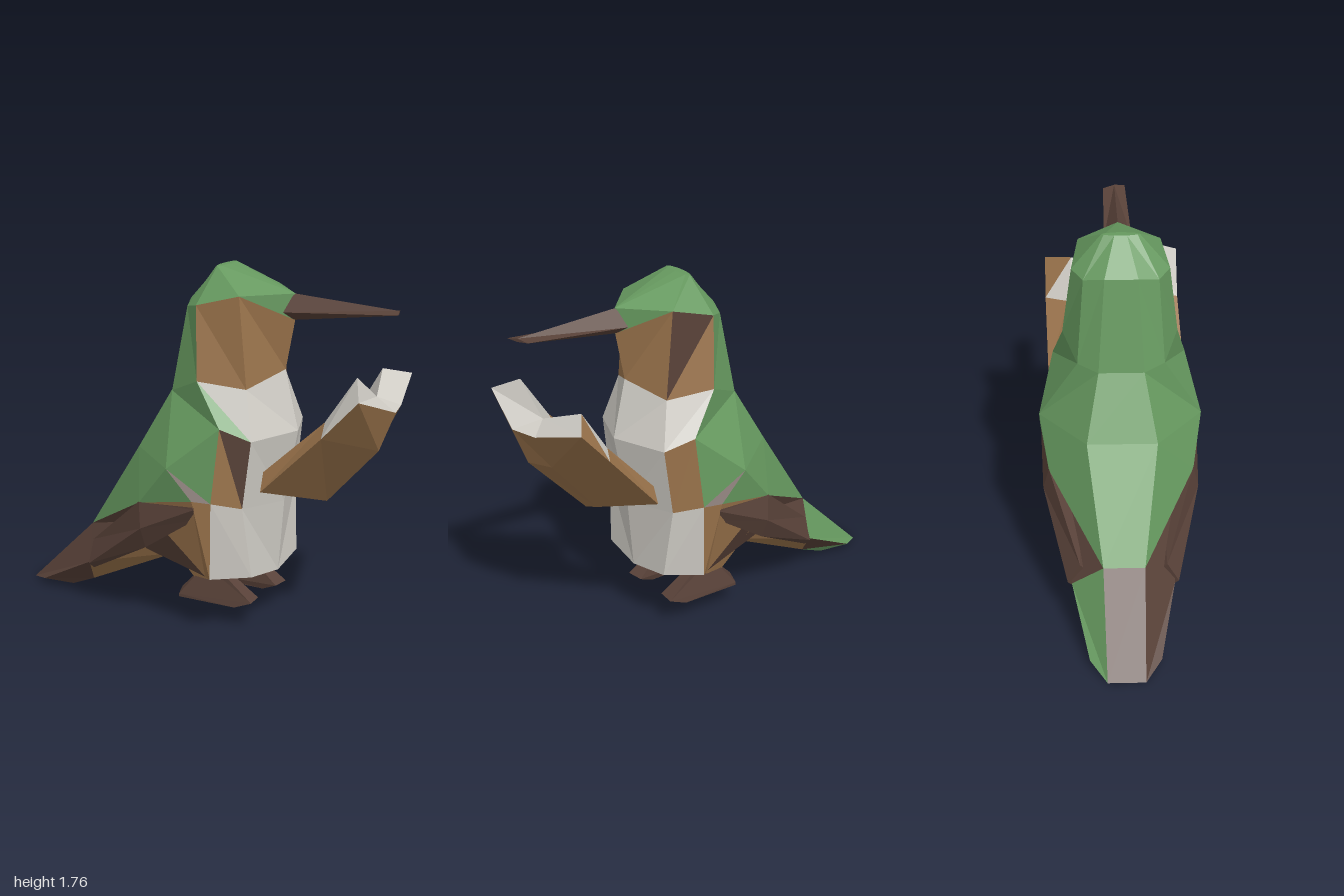
import * as THREE from 'three';

const COLOURS = {
  g: ['Green', 0x66995f], b: ['Brown', 0x9a734b],
  d: ['DarkBrown', 0x594239], w: ['White', 0xcfccc5],
};

// Closed faceted loft through rings of points. colourAt(k, j) gives two letters,
// one per triangle of a cell; mirrored halves get the mirrored diagonal.
function loft(name, rings, colourAt, startCap, endCap) {
  const n = rings[0].length, faces = [];
  for (let k = 0; k < rings.length - 1; k++) {
    for (let j = 0; j < n; j++) {
      const i = (j + 1) % n;
      const a = rings[k][j], b = rings[k][i], c = rings[k + 1][i], d = rings[k + 1][j];
      const [up, low] = colourAt(k, j);
      if (j >= n / 2) faces.push([up, a, b, c], [low, a, c, d]);
      else faces.push([up, a, b, d], [low, b, c, d]);
    }
  }
  const first = rings[0], last = rings[rings.length - 1];
  for (let j = 1; j < n - 1; j++) {
    faces.push([startCap, first[0], first[j + 1], first[j]], [endCap, last[0], last[j], last[j + 1]]);
  }
  // Drop collapsed triangles and make every face point outwards
  const solid = faces.map(([c, ...p]) => [c, ...p.map((q) => new THREE.Vector3(...q))])
    .filter(([, a, b, c]) => new THREE.Triangle(a, b, c).getArea() > 1e-6);
  const volume = solid.reduce((s, [, a, b, c]) => s + a.dot(b.clone().cross(c)), 0);
  const group = new THREE.Group();
  group.name = name;
  for (const [key, [label, color]] of Object.entries(COLOURS)) {
    const points = solid.filter((f) => f[0] === key)
      .flatMap(([, a, b, c]) => (volume > 0 ? [a, b, c] : [a, c, b]));
    if (!points.length) continue;
    const geometry = new THREE.BufferGeometry().setFromPoints(points);
    geometry.computeVertexNormals();
    const mesh = new THREE.Mesh(geometry, new THREE.MeshStandardMaterial({ color, flatShading: true }));
    mesh.name = name + label;
    group.add(mesh);
  }
  return group;
}

// Full ring from its left half; points on the centre line are not doubled
const mirrorRing = (half) => [
  ...half,
  ...half.filter((p) => p[0] !== 0).reverse().map(([x, y, z]) => [-x, y, z]),
];
const flipX = (rings) => rings.map((r) => r.map(([x, y, z]) => [-x, y, z]));
const colourTable = (rows) => {
  const table = rows.map((row) => row.split(' '));
  return (k, j) => table[k][j];
};

function makeBody() {
  // Each half ring: front, front side, side, back side, shoulder, back.
  // The shoulder shares the back side point except where the wing joins.
  const brow = [[0.2, 1.655, 0.24], [0.235, 1.6, 0.03], [0.18, 1.58, -0.05], [0.18, 1.58, -0.05], [0.08, 1.6, -0.09]];
  const rings = [
    [[0, 1.765, 0.08], [0.07, 1.765, 0.07], [0.09, 1.765, 0.06], [0.08, 1.765, 0.05], [0.08, 1.765, 0.05], [0.03, 1.765, 0.04]],
    [[0, 1.655, 0.427], ...brow],
    [[0, 1.53, 0.427], ...brow],
    [[0, 1.29, 0.38], [0.2, 1.22, 0.28], [0.28, 1.25, 0.06], [0.21, 1.17, -0.12], [0.21, 1.17, -0.12], [0.11, 1.15, -0.18]],
    [[0, 1.0, 0.45], [0.26, 0.99, 0.34], [0.33, 1.05, 0.21], [0.4, 0.84, -0.04], [0.4, 0.84, -0.04], [0.17, 0.85, -0.34]],
    [[0, 0.64, 0.38], [0.27, 0.66, 0.3], [0.36, 0.69, 0.18], [0.4, 0.7, 0.1], [0.355, 0.63, -0.225], [0.1, 0.37, -0.68]],
    [[0, 0.28, 0.35], [0.23, 0.31, 0.33], [0.335, 0.3, 0.16], [0.31, 0.3, 0.12], [0.31, 0.3, 0.12], [0.15, 0.33, -0.15]],
  ].map(mirrorRing);
  const colours = colourTable([
    'gg gg gg gg gg gg gg gg gg gg gg',
    'gg gg gg gg gg gg gg gg gg gg gg',
    'bb db gg gg gg gg gg gg gg bb bb',
    'ww ww gg gg gg gg gg gg gg wg ww',
    'ww bb gd gg gg gg gg gg gd db ww',
    'ww ww bb bb db bb db bb bb ww ww',
  ]);
  return loft('body', rings, colours, 'g', 'b');
}

function makeTail() {
  // Half sections: top, edge, bottom
  const rings = [
    [[0.14, 0.58, -0.4], [0.28, 0.48, -0.3], [0.15, 0.32, -0.15]],
    [[0.1, 0.37, -0.68], [0.25, 0.22, -0.6], [0.13, 0.08, -0.66]],
    [[0.09, 0, -1.07], [0.17, 0.035, -0.95], [0.12, 0.02, -0.8]],
  ].map(mirrorRing);
  const colours = colourTable(['dd bb bb bb dd dd', 'gg dg dd dd dd dd']);
  return loft('tail', rings, colours, 'b', 'd');
}

function makeWing(side) {
  // Sections: top, outer edge, bottom, inner edge
  const rings = [
    [[0.39, 0.71, 0.1], [0.395, 0.66, 0.11], [0.37, 0.6, 0.1], [0.28, 0.65, 0.1]],
    [[0.355, 0.635, -0.225], [0.385, 0.51, -0.2], [0.34, 0.4, -0.2], [0.2, 0.5, -0.22]],
    [[0.21, 0.33, -0.6], [0.27, 0.22, -0.59], [0.24, 0.19, -0.58], [0.14, 0.24, -0.58]],
  ];
  return loft(side > 0 ? 'leftWing' : 'rightWing', side > 0 ? rings : flipX(rings), () => 'dd', 'd', 'd');
}

function makeBeak() {
  const rings = [
    [[0, 1.655, 0.42], [0.07, 1.575, 0.4], [0, 1.53, 0.42], [-0.07, 1.575, 0.4]],
    [[0, 1.626, 0.95], [0.058, 1.616, 0.93], [0, 1.61, 0.95], [-0.055, 1.616, 0.97]],
  ];
  return loft('beak', rings, () => 'dd', 'd', 'd');
}

function makeLeg(side) {
  const thigh = [
    [[0.06, 0.5, 0.1], [0.25, 0.5, 0.1], [0.25, 0.45, -0.2], [0.06, 0.45, -0.2]],
    [[0.1, 0.2, 0.05], [0.17, 0.2, 0.05], [0.17, 0.2, -0.04], [0.1, 0.2, -0.04]],
  ];
  // Sections: ankle, middle, sole
  const foot = [
    [[0.12, 0.3, 0.05], [0.16, 0.3, 0.05], [0.16, 0.28, 0.01], [0.12, 0.28, 0.01]],
    [[0.09, 0.135, 0.27], [0.18, 0.135, 0.28], [0.2, 0.115, -0.12], [0.1, 0.115, -0.16]],
    [[0.1, 0.1, 0.19], [0.19, 0.1, 0.19], [0.2, 0.1, -0.12], [0.1, 0.1, -0.16]],
  ];
  const place = (rings) => (side > 0 ? rings : flipX(rings));
  const leg = new THREE.Group();
  leg.name = side > 0 ? 'leftLeg' : 'rightLeg';
  leg.add(loft('thigh', place(thigh), () => 'bb', 'b', 'b'));
  leg.add(loft('foot', place(foot), () => 'dd', 'd', 'd'));
  leg.position.x = 0.035;
  return leg;
}

function makeBook() {
  // Sections: gutter, page edge, outer corner, spine, spine, outer corner, page edge
  const rings = [
    [[0.07, 0.8, 0.47], [-0.17, 0.85, 0.48], [-0.26, 0.79, 0.56], [0.12, 0.68, 0.61],
      [0.18, 0.7, 0.57], [0.41, 0.79, 0.33], [0.3, 0.83, 0.32]],
    [[0.17, 1.05, 0.72], [-0.03, 1.12, 0.74], [-0.14, 1.08, 0.83], [0.17, 0.98, 0.89],
      [0.28, 0.99, 0.8], [0.51, 1.09, 0.58], [0.38, 1.1, 0.56]],
    [[0.22, 1.215, 0.82], [0.03, 1.345, 0.88], [-0.08, 1.27, 1.0], [0.2, 1.17, 0.96],
      [0.32, 1.17, 0.88], [0.56, 1.255, 0.72], [0.4, 1.295, 0.68]],
  ];
  const colours = colourTable(['bb bb bb bb bb bb bb', 'ww ww bb bb bb wb ww']);
  return loft('openBook', rings, colours, 'b', 'w');
}

export function createModel() {
  const model = new THREE.Group();
  model.name = 'readingBird';
  const bird = new THREE.Group();
  bird.name = 'bird';
  bird.add(makeBody(), makeTail(), makeBeak());
  for (const side of [1, -1]) bird.add(makeWing(side), makeLeg(side));
  // The bird stands turned slightly to its left
  bird.rotation.y = 0.34;
  bird.position.set(-0.075, 0, 0.027);
  model.add(bird, makeBook());
  return model;
}
